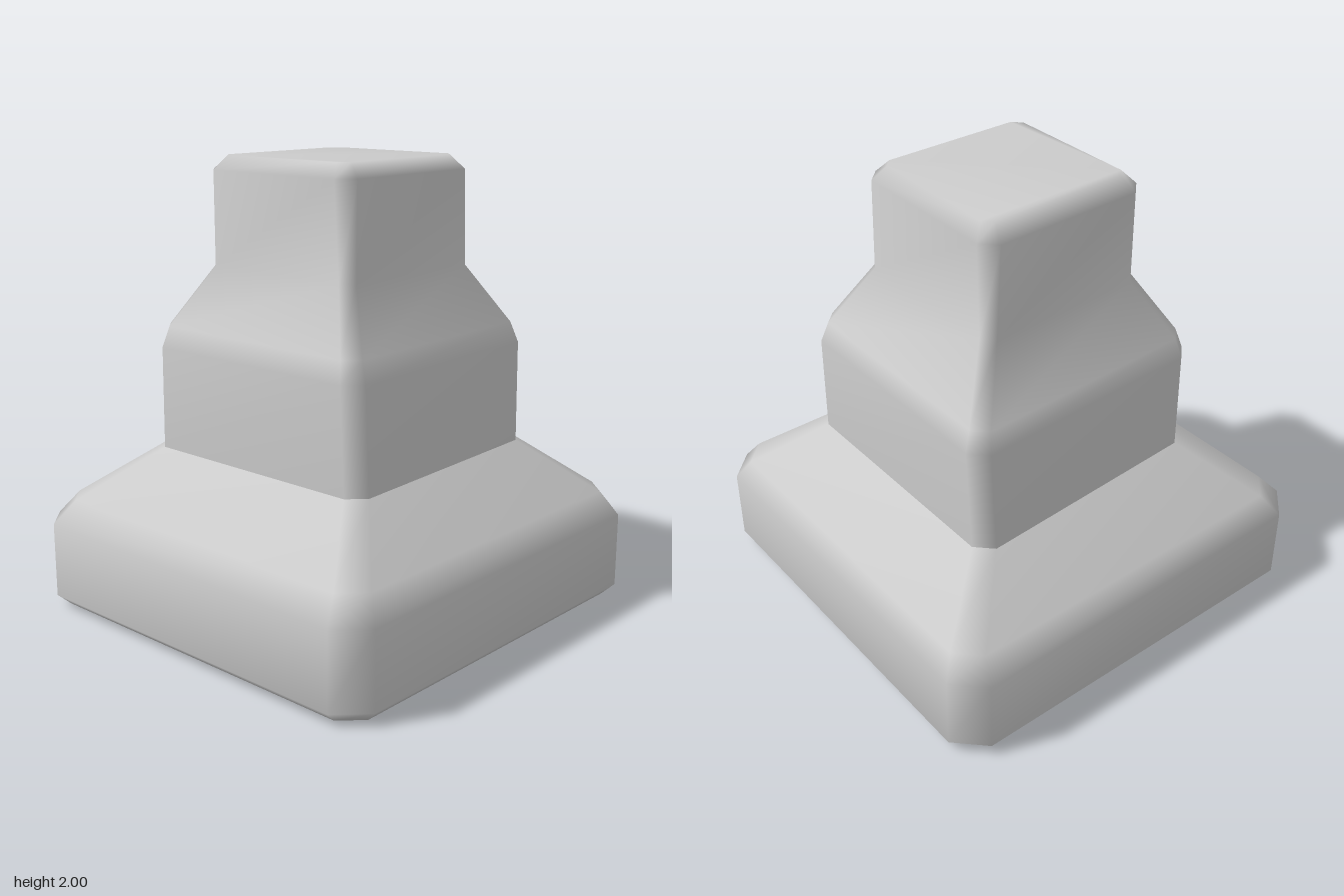
import * as THREE from 'three';

const material = new THREE.MeshStandardMaterial({ color: 0xcccccc });

// One chamfered four-sided section: the four corners may sit slightly off square.
// Corners: [x, z] for back-left-of-page, front, front-right, back-right; c = chamfer.
function section(y, xMin, xMax, [backA, backB], [frontA, frontB], c) {
  return [
    [xMin, y, backA + c], [xMin, y, frontA - c],
    [xMin + c, y, frontA], [xMax - c, y, frontB],
    [xMax, y, frontB - c], [xMax, y, backB + c],
    [xMax - c, y, backB], [xMin + c, y, backA],
  ];
}

// Skin the stacked sections, closing the first or last one if asked.
function loft(name, sections, capBottom, capTop) {
  const n = 8, index = [];
  for (let r = 0; r < sections.length - 1; r++) {
    for (let i = 0; i < n; i++) {
      const a = r * n + i, b = r * n + (i + 1) % n;
      index.push(a, b, b + n, a, b + n, a + n);
    }
  }
  const last = (sections.length - 1) * n;
  for (let i = 1; i < n - 1; i++) {
    if (capBottom) index.push(0, i + 1, i);
    if (capTop) index.push(last, last + i, last + i + 1);
  }
  const geometry = new THREE.BufferGeometry();
  geometry.setAttribute('position', new THREE.Float32BufferAttribute(sections.flat(2), 3));
  geometry.setIndex(index);
  geometry.computeVertexNormals();
  const mesh = new THREE.Mesh(geometry, material);
  mesh.name = name;
  return mesh;
}

export function createModel() {
  const group = new THREE.Group();
  group.name = 'steppedPedestal';

  // Seam shared by the base and the tower
  const seam = section(0.73, -0.58, 0.62, [-0.58, -0.64], [0.62, 0.575], 0.07);

  // Broad base with bevelled foot and sloping shoulders
  group.add(loft('base', [
    section(0, -0.9, 0.9, [-0.91, -0.91], [0.88, 0.9], 0.09),
    section(0.055, -0.96, 0.955, [-0.96, -0.96], [0.935, 0.955], 0.125),
    section(0.39, -0.96, 0.955, [-0.96, -0.96], [0.935, 0.955], 0.125),
    section(0.49, -0.87, 0.9, [-0.89, -0.89], [0.86, 0.87], 0.1),
    seam,
  ], true, false));

  // Middle block narrowing to the square top
  group.add(loft('tower', [
    seam,
    section(1.18, -0.58, 0.62, [-0.575, -0.61], [0.6, 0.57], 0.07),
    section(1.27, -0.55, 0.59, [-0.55, -0.585], [0.565, 0.54], 0.06),
    section(1.53, -0.4, 0.41, [-0.4, -0.41], [0.41, 0.41], 0.05),
    section(1.94, -0.41, 0.41, [-0.405, -0.415], [0.41, 0.41], 0.065),
    section(2, -0.355, 0.355, [-0.345, -0.345], [0.35, 0.35], 0.04),
  ], false, true));

  return group;
}
